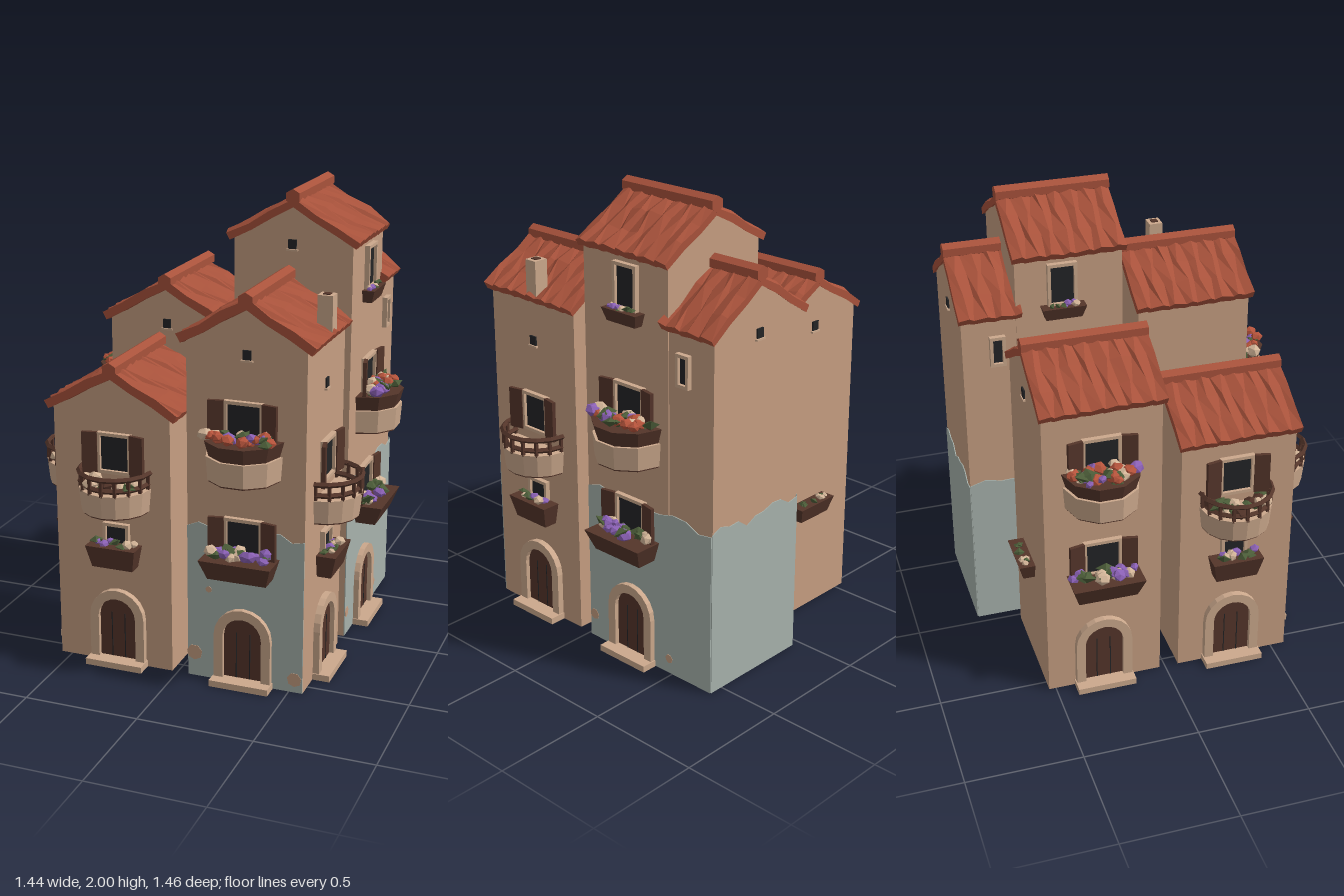
import * as THREE from 'three';
import { mergeGeometries } from 'three/addons/utils/BufferGeometryUtils.js';

const mat = (name, color) => {
  const m = new THREE.MeshStandardMaterial({ color });
  m.name = name;
  return m;
};
const M = {
  wall: mat('tan wall', 0xc69e81), plaster: mat('blue grey plaster', 0xa7b2ac),
  trim: mat('pale stone', 0xcba88c), roof: mat('terracotta', 0xa8523b),
  wood: mat('dark wood', 0x54352a), glass: mat('black pane', 0x232426),
  leaf: mat('leaf green', 0x4b5c38), purple: mat('purple flower', 0x8a60b4),
  red: mat('red flower', 0xb5533b), cream: mat('cream flower', 0xd3b598),
};

let seed = 7;
const rnd = () => (seed = (seed * 16807) % 2147483647) / 2147483647;

// Faceted normals
function facet(g) {
  const f = g.index ? g.toNonIndexed() : g;
  f.computeVertexNormals();
  return f;
}
function add(parent, name, geo, material, x = 0, y = 0, z = 0) {
  const m = new THREE.Mesh(geo, material);
  m.name = name;
  m.position.set(x, y, z);
  parent.add(m);
  return m;
}
const box = (w, h, d) => new THREE.BoxGeometry(w, h, d);
function shapeOf(pts) {
  return new THREE.Shape(pts.map(p => new THREE.Vector2(p[0], p[1])));
}
const extrude = (s, depth) =>
  new THREE.ExtrudeGeometry(s, { depth, bevelEnabled: false, curveSegments: 5 });

// Half round drum whose flat back lies on the wall
const drum = (rt, rb, h, n) =>
  facet(new THREE.CylinderGeometry(rt, rb, h, n, 1, false, -Math.PI / 2, Math.PI));

// Planter box, narrower at the bottom, back on z = 0
function trough(w, h, d) {
  const g = box(w, h, d).translate(0, 0, d / 2), p = g.attributes.position;
  for (let i = 0; i < p.count; i++) {
    if (p.getY(i) < 0) p.setXYZ(i, p.getX(i) * 0.82, p.getY(i), p.getZ(i) * 0.72);
  }
  return facet(g);
}

// Angular leaves and blossoms scattered over a bed
function flowers(parent, w, d, y, count, size, kinds) {
  const sets = {};
  for (let i = 0; i < count; i++) {
    const kind = kinds[i % kinds.length], r = size * (0.7 + 0.6 * rnd());
    const u = rnd() * 2 - 1, reach = Math.sqrt(1 - u * u * 0.75);
    const g = kind === 'leaf' ? new THREE.OctahedronGeometry(r * 1.2)
      : new THREE.IcosahedronGeometry(r);
    g.scale(1.1, kind === 'leaf' ? 0.6 : 0.8, 1).rotateX(rnd()).rotateY(rnd() * 6);
    g.translate(u * w / 2, y + rnd() * size * 0.8, 0.02 + rnd() * (d - 0.02) * reach);
    (sets[kind] ||= []).push(g);
  }
  for (const k in sets) add(parent, k + ' blooms', facet(mergeGeometries(sets[k])), M[k]);
}

// Framed pane with optional open shutters
function windowAt(parent, y, w, h, shutters) {
  const g = new THREE.Group();
  g.name = 'window';
  g.position.y = y;
  parent.add(g);
  add(g, 'pane', box(w, h, 0.008), M.glass, 0, 0, 0.004);
  for (const s of [-1, 1]) {
    add(g, 'frameSide', box(0.014, h + 0.028, 0.024), M.trim, s * (w / 2 + 0.007), 0, 0.01);
    add(g, 'frameRail', box(w, 0.014, 0.024), M.trim, 0, s * (h / 2 + 0.007), 0.01);
    if (shutters) {
      add(g, 'shutter', box(0.066, h + 0.03, 0.016), M.wood, s * (w / 2 + 0.044), 0, 0.026)
        .rotation.y = -s * 0.2;
    }
  }
}
function vent(parent, x, y, z, rot) {
  const g = wallGroup(parent, 'vent', x, z, rot);
  add(g, 'ventPane', box(0.036, 0.04, 0.008), M.glass, 0, y, 0.003);
  add(g, 'ventSill', box(0.05, 0.008, 0.014), M.trim, 0, y - 0.025, 0.004);
}

// Arched outline for the door and its surround
function arch(w, h) {
  const s = new THREE.Shape(), r = w / 2;
  s.moveTo(-r, 0);
  s.lineTo(r, 0);
  s.lineTo(r, h - r);
  s.absarc(0, h - r, r, 0, Math.PI, false);
  s.closePath();
  return s;
}
function door(parent) {
  const ring = arch(0.25, 0.345);
  ring.holes.push(arch(0.17, 0.305));
  add(parent, 'doorSurround', facet(extrude(ring, 0.028)), M.trim);
  add(parent, 'door', facet(extrude(arch(0.17, 0.305), 0.008)), M.wood);
  for (const x of [-0.03, 0.03]) add(parent, 'doorGroove', box(0.004, 0.23, 0.002), M.glass, x, 0.12, 0.009);
  add(parent, 'doorStep', box(0.26, 0.028, 0.075), M.trim, 0, 0.014, 0.0375);
}

function wallGroup(parent, name, x, z, rot) {
  const g = new THREE.Group();
  g.name = name;
  g.position.set(x, 0, z);
  g.rotation.y = rot;
  parent.add(g);
  return g;
}

// Facade with a flower balcony above a wide window box
function floralFacade(parent, x, z, rot) {
  const g = wallGroup(parent, 'floralFacade', x, z, rot);
  door(g);
  windowAt(g, 0.665, 0.14, 0.14, true);
  add(g, 'windowBox', trough(0.31, 0.09, 0.13), M.wood, 0, 0.545, 0);
  flowers(g, 0.27, 0.1, 0.6, 20, 0.026, ['leaf', 'purple', 'leaf', 'cream', 'purple']);
  windowAt(g, 1.165, 0.14, 0.14, true);
  add(g, 'balcony', drum(0.162, 0.155, 0.1, 5), M.trim, 0, 0.982, 0);
  add(g, 'balconyUnderside', drum(0.15, 0.15, 0.008, 5), M.wood, 0, 0.929, 0);
  add(g, 'balconyTrough', drum(0.168, 0.15, 0.065, 5), M.wood, 0, 1.064, 0);
  flowers(g, 0.29, 0.14, 1.105, 34, 0.026, ['leaf', 'red', 'cream', 'leaf', 'red', 'purple']);
}

// Facade with a railed round balcony above a small window box
function railedFacade(parent, x, z, rot, kinds) {
  const g = wallGroup(parent, 'railedFacade', x, z, rot);
  door(g);
  windowAt(g, 0.585, 0.09, 0.1, false);
  add(g, 'windowBox', trough(0.225, 0.1, 0.085), M.wood, 0, 0.51, 0);
  flowers(g, 0.18, 0.06, 0.56, 12, 0.02, ['leaf', 'leaf', 'purple', 'cream']);
  windowAt(g, 0.96, 0.125, 0.15, true);
  add(g, 'balcony', drum(0.158, 0.148, 0.1, 8), M.trim, 0, 0.77, 0);
  add(g, 'balconyUnderside', drum(0.143, 0.143, 0.008, 8), M.wood, 0, 0.717, 0);
  for (const [y, r] of [[0.84, 0.145], [0.89, 0.155]]) {
    const t = new THREE.TorusGeometry(r, 0.012, 4, 8, Math.PI).rotateX(Math.PI / 2);
    add(g, 'rail', facet(t), M.wood, 0, y, 0);
  }
  for (let i = 0; i <= 8; i++) {
    const a = i * Math.PI / 8;
    add(g, 'railPost', box(0.013, 0.08, 0.013), M.wood,
      Math.cos(a) * 0.147, 0.855, Math.sin(a) * 0.147 + 0.004);
  }
  if (kinds) flowers(g, 0.25, 0.12, 0.835, 24, 0.027, kinds);
}

// High window with a little flower box
function atticWindow(parent, x, z, rot) {
  const g = wallGroup(parent, 'atticWindow', x, z, rot);
  windowAt(g, 1.65, 0.1, 0.165, false);
  add(g, 'atticBox', trough(0.19, 0.055, 0.055), M.wood, 0, 1.53, 0);
  flowers(g, 0.15, 0.04, 1.558, 8, 0.015, ['leaf', 'purple', 'cream']);
}

// Gabled block with two rippled tile slopes and a ridge cap
function house(parent, name, x0, x1, z0, z1, eave, ridge) {
  const g = new THREE.Group();
  g.name = name;
  parent.add(g);
  const cx = (x0 + x1) / 2, half = (x1 - x0) / 2 + 0.027, top = ridge - 0.05, low = eave + 0.026;
  const edge = low + (top - low) * 0.027 / half;
  const s = shapeOf([[x0, 0], [x1, 0], [x1, edge], [cx, top], [x0, edge]]);
  add(g, 'walls', facet(extrude(s, z1 - z0)), M.wall, 0, 0, z0);

  const len = Math.hypot(half, top - low), depth = z1 - z0 + 0.024, nz = Math.round(depth / 0.036);
  for (const side of [-1, 1]) {
    const geo = new THREE.BoxGeometry(len, 0.034, depth, 3, 1, nz), p = geo.attributes.position;
    for (let i = 0; i < p.count; i++) {
      const x = p.getX(i), y = p.getY(i), z = p.getZ(i);
      const row = Math.round((z / depth + 0.5) * nz), col = Math.round((x / len + 0.5) * 3);
      const n = Math.sin(row * 12.9 + col * 78.2 + side * 3 + cx * 40) * 0.5;
      const lift = (row % 2 ? 0.007 : -0.007) + n * 0.012;
      p.setY(i, y + (y > 0 ? lift : lift * 0.5));
      if (row > 0 && row < nz) p.setZ(i, z + Math.sin(row * 4.1 + col * 2.3 + cx * 9) * 0.013);
    }
    const m = add(g, 'roofSlope', facet(geo), M.roof, cx + side * half / 2, (top + low) / 2, (z0 + z1) / 2);
    m.rotation.z = -side * Math.atan2(top - low, half);
  }
  const cap = new THREE.CylinderGeometry(0.034, 0.034, depth + 0.004, 6, 4).rotateX(Math.PI / 2);
  add(g, 'ridgeCap', facet(cap), M.roof, cx, ridge - 0.0295, (z0 + z1) / 2);
  return g;
}

// Thin painted coat with an uneven upper edge and bare spots
function plasterCoat(parent, x, z, rot, w, y, spots = []) {
  const g = wallGroup(parent, 'plasterCoat', x, z, rot), pts = [[-w / 2, 0.002], [w / 2, 0.002]];
  for (let i = 10; i >= 0; i--) {
    pts.push([(i / 10 - 0.5) * w, y + Math.sin(i * 1.1) * 0.018 + Math.sin(i * 2.7) * 0.012]);
  }
  add(g, 'coat', facet(extrude(shapeOf(pts), 0.004)), M.plaster);
  for (const [sx, sy, r] of spots) {
    add(g, 'bareSpot', facet(new THREE.CylinderGeometry(r, r, 0.002, 7).rotateX(Math.PI / 2)), M.wall, sx, sy, 0.005);
  }
}

export function createModel() {
  const root = new THREE.Group();
  root.name = 'townhouses';
  const R = Math.PI / 2;

  // Blocks
  house(root, 'lowFrontHouse', -0.55, -0.025, 0.06, 0.565, 1.11, 1.345);
  house(root, 'tallFrontHouse', 0.05, 0.56, 0.06, 0.565, 1.45, 1.69);
  house(root, 'lowBackHouse', -0.55, -0.025, -0.53, -0.025, 1.35, 1.59);
  house(root, 'tallBackHouse', 0.04, 0.565, -0.48, -0.015, 1.76, 2.0);
  house(root, 'rearAnnex', 0.045, 0.56, -0.715, -0.47, 1.51, 1.77);

  // Plaster on the two taller houses
  plasterCoat(root, 0.305, 0.565, 0, 0.51, 0.685, [[-0.225, 0.11, 0.035], [-0.16, 0.41, 0.014], [0.22, 0.06, 0.032]]);
  plasterCoat(root, 0.565, -0.365, R, 0.7, 0.72, [[-0.325, 0.11, 0.025], [0.12, 0.07, 0.02]]);
  plasterCoat(root, 0.04, -0.365, -R, 0.7, 0.72);
  plasterCoat(root, 0.3025, -0.715, 2 * R, 0.525, 0.72);

  // Decorated walls
  floralFacade(root, 0.3, 0.565, 0);
  floralFacade(root, 0.565, -0.275, R);
  floralFacade(root, -0.55, -0.285, -R);
  railedFacade(root, -0.27, 0.565, 0, ['cream', 'leaf', 'cream', 'wood']);
  railedFacade(root, -0.55, 0.3, -R, ['leaf', 'cream', 'leaf', 'wood']);
  railedFacade(root, 0.56, 0.3, R, null);
  atticWindow(root, 0.565, -0.26, R);
  atticWindow(root, 0.04, -0.28, -R);

  // Rear planter
  const rear = wallGroup(root, 'rearPlanter', -0.26, -0.53, 2 * R);
  add(rear, 'planterBox', trough(0.22, 0.07, 0.07), M.wood, 0, 0.5, 0);
  flowers(rear, 0.18, 0.05, 0.533, 9, 0.015, ['leaf', 'leaf', 'cream']);

  // Gable vents and annex side windows
  vent(root, 0.31, 1.44, 0.565, 0);
  vent(root, 0.3, 1.77, -0.015, 0);
  vent(root, -0.28, 1.37, -0.025, 0);
  vent(root, -0.28, 1.34, -0.53, 2 * R);
  vent(root, 0.3, 1.5, -0.715, 2 * R);
  vent(root, 0.56, 1.285, 0.31, R);
  for (const [x, r] of [[0.56, R], [0.045, -R]]) {
    const g = wallGroup(root, 'annexWindow', x, -0.565, r);
    windowAt(g, 1.375, 0.04, 0.11, false);
  }

  // Chimney
  add(root, 'chimney', box(0.065, 0.17, 0.06), M.trim, 0.55, 1.56, 0.29);
  add(root, 'chimneyMouth', box(0.03, 0.006, 0.03), M.wood, 0.55, 1.646, 0.29);
  return root;
}
